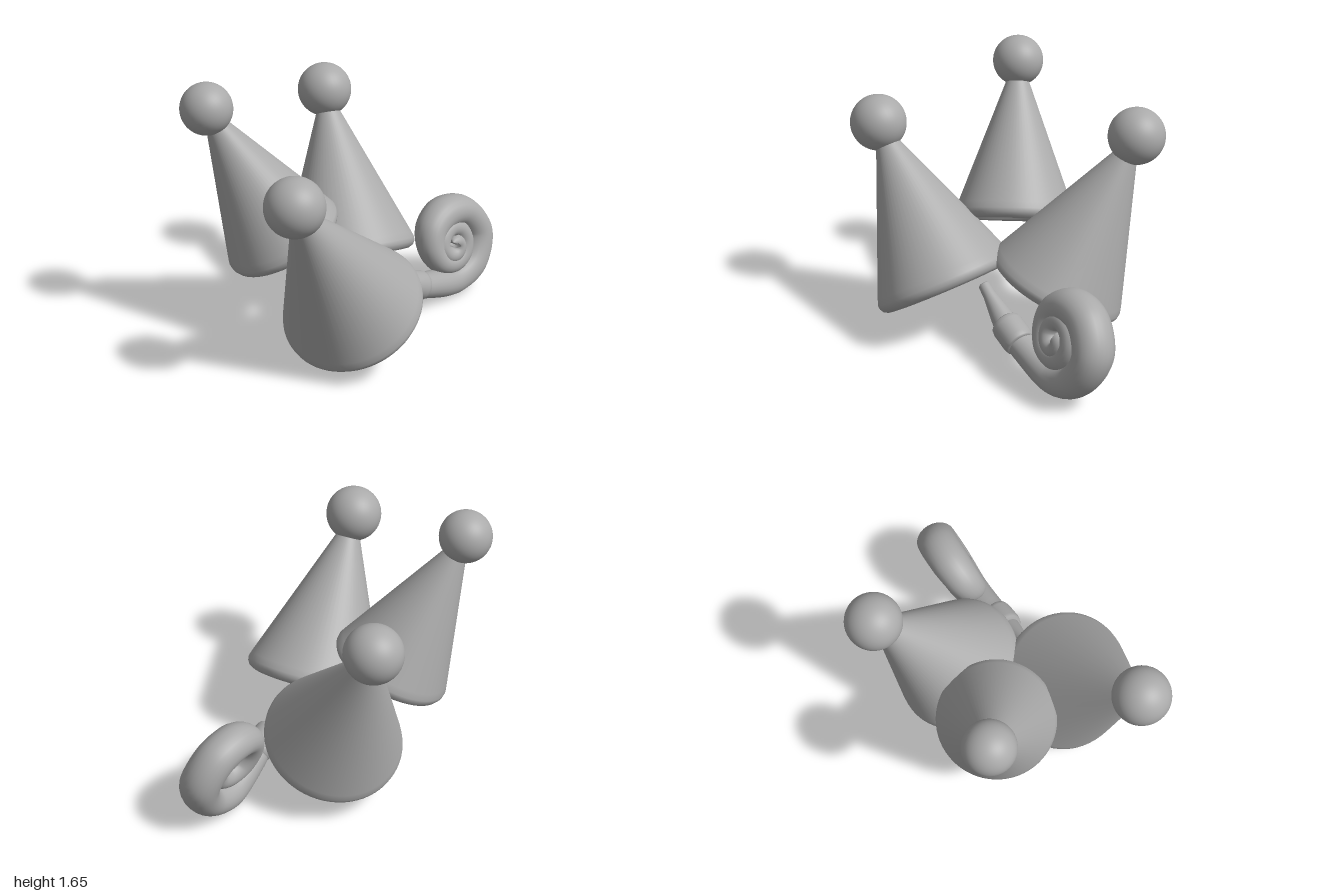
import * as THREE from 'three';

const V = (x, y, z) => new THREE.Vector3(x, y, z);
const UP = V(0, 1, 0);

// Cone with a rolled rim, a recessed underside and a ball on its tip
function makeHat(name, base, tip, radius, ballRadius, mat) {
  const hat = new THREE.Group();
  hat.name = name;
  const axis = tip.clone().sub(base);
  const h = axis.length();
  const r = radius;
  const profile = [
    [0, 0.065], [r - 0.11, 0.06], [r - 0.097, 0.04],
    [r - 0.085, 0.016], [r - 0.065, 0.001], [r - 0.04, -0.002], [r - 0.015, 0.012],
    [r - 0.002, 0.035], [r, 0.06], [r - 0.014, 0.1], [0.078, h - 0.15], [0.03, h],
  ].map(([x, y]) => new THREE.Vector2(x, y));
  const cone = new THREE.Mesh(new THREE.LatheGeometry(profile, 64), mat);
  cone.name = 'hatCone';
  const ball = new THREE.Mesh(new THREE.SphereGeometry(ballRadius, 40, 28), mat);
  ball.name = 'hatBall';
  ball.position.y = h;
  hat.add(cone, ball);
  hat.position.copy(base);
  hat.quaternion.setFromUnitVectors(UP, axis.normalize());
  return hat;
}

// Lathed part running from point a to point b; profile is [radius, fraction along]
function turned(name, a, b, profile, mat) {
  const axis = b.clone().sub(a);
  const len = axis.length();
  const pts = profile.map(([r, t]) => new THREE.Vector2(r, t * len));
  const mesh = new THREE.Mesh(new THREE.LatheGeometry(pts, 32), mat);
  mesh.name = name;
  mesh.position.copy(a);
  mesh.quaternion.setFromUnitVectors(UP, axis.normalize());
  return mesh;
}

// Tube with radii interpolated between control points, widened along one axis
function taperedTube(points, radii, segments, sides, wideAxis, widen) {
  const curve = new THREE.CatmullRomCurve3(points);
  curve.arcLengthDivisions = 600;
  const geo = new THREE.TubeGeometry(curve, segments, 1, sides);
  const pos = geo.attributes.position;
  const v = V(0, 0, 0);
  for (let i = 0; i <= segments; i++) {
    const u = i / segments;
    const p = curve.getPointAt(u);
    const f = curve.getUtoTmapping(u) * (radii.length - 1);
    const k = Math.min(Math.floor(f), radii.length - 2);
    const r = THREE.MathUtils.lerp(radii[k], radii[k + 1], f - k);
    const extra = widen * Math.min(1, u * 5);
    for (let j = 0; j <= sides; j++) {
      const n = i * (sides + 1) + j;
      v.fromBufferAttribute(pos, n).sub(p).multiplyScalar(r);
      v.addScaledVector(wideAxis, v.dot(wideAxis) * extra).add(p);
      pos.setXYZ(n, v.x, v.y, v.z);
    }
  }
  return geo;
}

// Party blower: mouthpiece, collar and a curled paper tube
function makeBlower(mat) {
  const blower = new THREE.Group();
  blower.name = 'partyBlower';
  const mouth = V(0.3, 0.41, -0.02);
  const neck = V(0.415, 0.245, -0.21);
  const end = V(0.51, 0.175, -0.355);
  blower.add(turned('mouthpiece', mouth, neck,
    [[0, 0], [0.025, 0], [0.035, 0.03], [0.04, 0.3], [0.065, 0.8], [0.075, 1.05]], mat));
  blower.add(turned('collar', neck, end,
    [[0, 0], [0.08, 0], [0.092, 0.06], [0.098, 0.2], [0.098, 0.8], [0.092, 0.95], [0.08, 1], [0, 1]], mat));

  // Leaning spiral whose inner turns step outwards along its axis
  const center = V(0.595, 0.352, -0.673);
  const side = V(0.57, 0, -0.82);
  const lean = V(-0.2, 0.97, -0.15);
  const out = V(0.82, 0, 0.57);
  const points = [V(0.465, 0.205, -0.275), V(0.525, 0.155, -0.4)];
  const radii = [0.075, 0.085];
  // Spiral [distance from centre, tube radius] at each quarter turn
  const quarters = [
    [0.26, 0.1], [0.272, 0.102], [0.195, 0.098], [0.15, 0.08], [0.13, 0.07],
    [0.12, 0.064], [0.108, 0.06], [0.088, 0.055], [0.065, 0.052], [0.042, 0.05], [0.015, 0.045],
  ];
  const steps = (quarters.length - 1) * 2;
  for (let i = 0; i <= steps; i++) {
    const k = Math.min(Math.floor(i / 2), quarters.length - 2);
    const f = i / 2 - k;
    const d = THREE.MathUtils.lerp(quarters[k][0], quarters[k + 1][0], f);
    const a = -Math.PI / 2 + i * Math.PI / 4;
    points.push(center.clone()
      .addScaledVector(side, Math.cos(a) * d)
      .addScaledVector(lean, Math.sin(a) * d)
      .addScaledVector(out, 0.08 * i / steps));
    radii.push(THREE.MathUtils.lerp(quarters[k][1], quarters[k + 1][1], f));
  }
  radii[radii.length - 1] = 0.003;
  const coil = new THREE.Mesh(taperedTube(points, radii, 220, 24, out, 0.3), mat);
  coil.name = 'curledTube';
  blower.add(coil);
  return blower;
}

export function createModel() {
  const grey = new THREE.MeshStandardMaterial({ color: 0xaaaaaa, side: THREE.DoubleSide });
  grey.name = 'plain grey';
  const model = new THREE.Group();
  model.name = 'partyHatsAndBlower';
  model.add(
    makeHat('frontHat', V(0.211, 0.287, 0.262), V(-0.003, 1.222, 0.82), 0.442, 0.176, grey),
    makeHat('rightHat', V(-0.285, 0.582, 0.02), V(-0.72, 1.487, 0.18), 0.375, 0.16, grey),
    makeHat('backHat', V(0.027, 0.322, -0.372), V(-0.245, 1.295, -0.78), 0.43, 0.173, grey),
    makeBlower(grey),
  );
  return model;
}
